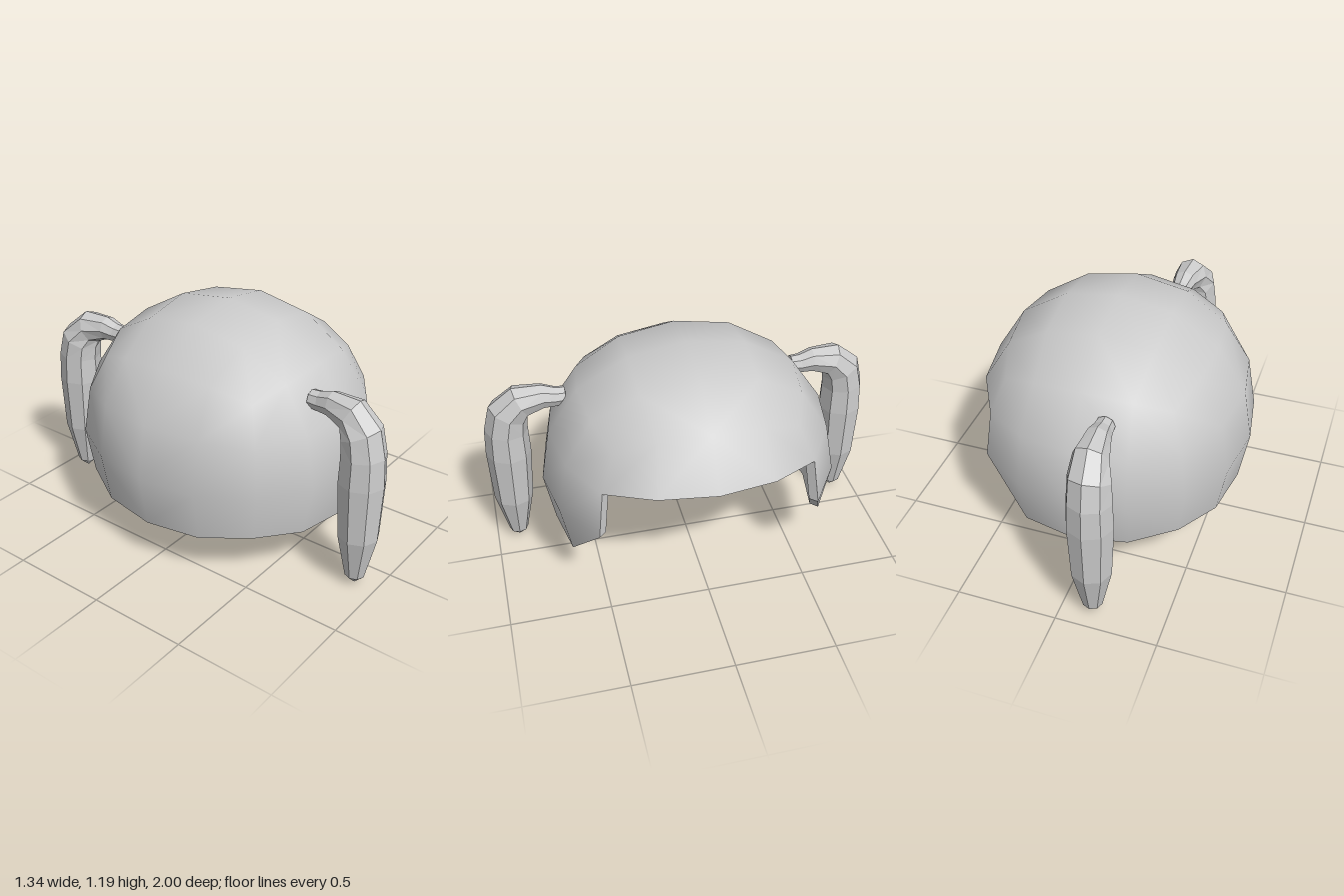
import * as THREE from 'three';
import { mergeVertices } from 'three/addons/utils/BufferGeometryUtils.js';

const material = new THREE.MeshStandardMaterial({ color: 0xcccccc });
const hornMaterial = new THREE.MeshStandardMaterial({ color: 0xcccccc, flatShading: true });
const CENTRE = new THREE.Vector3(0.02, 0.5, 0);
const RADII = new THREE.Vector3(0.69, 0.69, 0.74);
const INNER = 0.935;

function makeGeometry(points) {
  return new THREE.BufferGeometry().setFromPoints(points);
}

// Rounds a point of a 4 x 4 x 4 cube grid into the dome's slightly boxy ellipsoid
function roundPoint(p) {
  const c = p.toArray();
  const flat = c.findIndex((v) => Math.abs(v) > 0.99);
  const d = new THREE.Vector3(...c.map((v, i) => {
    if (Math.abs(Math.abs(v) - 0.5) > 0.01) return v;
    const other = c[3 - flat - i];
    return v * (0.828 + 0.172 * other * other);
  })).normalize();
  const bulge = 1 + 0.05 * (1 - d.x ** 4 - d.y ** 4 - d.z ** 4);
  return d.multiplyScalar(bulge).multiply(RADII);
}

// Grid triangles kept after cutting the neck, the face opening and the cheek corners
function domeTriangles() {
  const pos = new THREE.BoxGeometry(2, 2, 2, 4, 4, 4).toNonIndexed().attributes.position;
  const tris = [];
  for (let i = 0; i < pos.count; i += 3) {
    const tri = [0, 1, 2].map((k) => new THREE.Vector3().fromBufferAttribute(pos, i + k));
    const c = tri[0].clone().add(tri[1]).add(tri[2]).divideScalar(3);
    const neck = c.y < -0.5;
    const face = c.x > 0.99 && c.y < 0.5;
    const cheek = c.z > 0.99 && c.y < 0 && c.x - c.y > 1;
    if (c.z < 0 || neck || face || cheek) continue;
    const half = tri.map(roundPoint);
    tris.push(half);
    tris.push([half[0], half[2], half[1]].map((p) => new THREE.Vector3(p.x, p.y, -p.z)));
  }
  return tris;
}

function buildDome() {
  const group = new THREE.Group();
  group.name = 'helmetDome';
  group.position.copy(CENTRE);
  const tris = domeTriangles();
  const shrink = (p) => p.clone().multiplyScalar(INNER);

  // Outer and inner skins, both smooth
  const skins = {
    outerShell: tris.flat(),
    innerLining: tris.flatMap(([a, b, c]) => [shrink(a), shrink(c), shrink(b)]),
  };
  for (const [name, points] of Object.entries(skins)) {
    const geometry = mergeVertices(makeGeometry(points), 1e-4);
    geometry.computeVertexNormals();
    const mesh = new THREE.Mesh(geometry, material);
    mesh.name = name;
    group.add(mesh);
  }

  // Rim joining the skins along every edge used by only one triangle
  const key = (p) => p.toArray().map((v) => Math.round(v * 1e4) + 0).join(',');
  const edges = new Map();
  for (const t of tris) {
    t.forEach((a, k) => {
      const b = t[(k + 1) % 3];
      edges.set(key(a) + '|' + key(b), [a, b]);
    });
  }
  const rimPoints = [];
  for (const [a, b] of edges.values()) {
    if (edges.has(key(b) + '|' + key(a))) continue;
    const ia = shrink(a), ib = shrink(b);
    rimPoints.push(b, a, ia, b, ia, ib);
  }
  const rimGeometry = makeGeometry(rimPoints);
  rimGeometry.computeVertexNormals();
  const rim = new THREE.Mesh(rimGeometry, material);
  rim.name = 'rim';
  group.add(rim);
  return group;
}

// Horn cross-sections: distance out, height, radius, x
const HORN = [
  [0.574, 0.885, 0.001, -0.115],
  [0.58, 0.885, 0.046, -0.115],
  [0.63, 0.885, 0.05, -0.115],
  [0.69, 0.896, 0.062, -0.118],
  [0.8, 0.88, 0.085, -0.125],
  [0.865, 0.81, 0.103, -0.14],
  [0.884, 0.71, 0.108, -0.144],
  [0.886, 0.57, 0.114, -0.145],
  [0.889, 0.28, 0.1, -0.147],
  [0.886, 0.05, 0.049, -0.148],
  [0.886, 0.002, 0.001, -0.147],
];

function buildHorn(side) {
  const SIDES = 8;
  const rings = HORN.map(([z, y, r, x], i) => {
    const prev = HORN[Math.max(i - 1, 0)];
    const next = HORN[Math.min(i + 1, HORN.length - 1)];
    const t = new THREE.Vector2(next[0] - prev[0], next[1] - prev[1]).normalize();
    return Array.from({ length: SIDES }, (_, j) => {
      const a = (j / SIDES) * Math.PI * 2;
      const up = r * Math.sin(a);
      return new THREE.Vector3(x + r * Math.cos(a), y + up * t.x, side * (z - up * t.y));
    });
  });
  const points = [];
  for (let i = 0; i < rings.length - 1; i++) {
    for (let j = 0; j < SIDES; j++) {
      const k = (j + 1) % SIDES;
      const a = rings[i][j], b = rings[i][k], c = rings[i + 1][k], d = rings[i + 1][j];
      if (side > 0) points.push(a, b, d, b, c, d);
      else points.push(a, d, b, b, d, c);
    }
  }
  const geometry = makeGeometry(points);
  geometry.computeVertexNormals();
  const horn = new THREE.Mesh(geometry, hornMaterial);
  horn.name = side > 0 ? 'frontHorn' : 'backHorn';
  return horn;
}

export function createModel() {
  const model = new THREE.Group();
  model.name = 'hornedHelmet';
  model.add(buildDome(), buildHorn(1), buildHorn(-1));
  return model;
}
